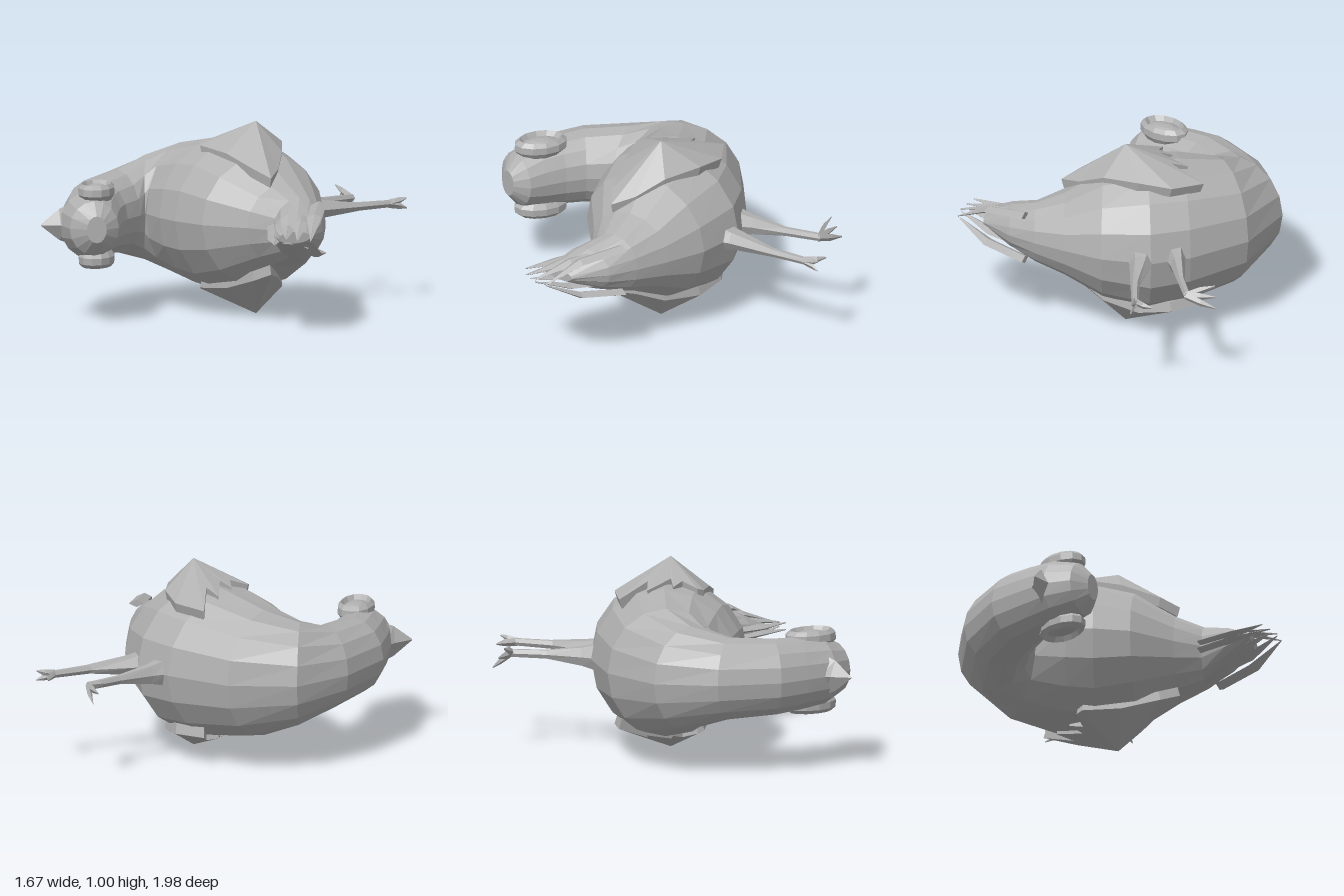
import * as THREE from 'three';

const MID = 0.5; // height of the bird's plane of symmetry (it lies on its side)

const grey = new THREE.MeshStandardMaterial({ color: 0xb0b0b0, flatShading: true, side: THREE.DoubleSide });
grey.name = 'grey';

function meshFrom(name, points, faces) {
  const geo = new THREE.BufferGeometry();
  geo.setAttribute('position', new THREE.Float32BufferAttribute(points.flat(), 3));
  geo.setIndex(faces.flat());
  const flat = geo.toNonIndexed();
  flat.computeVertexNormals();
  const mesh = new THREE.Mesh(flat, grey);
  mesh.name = name;
  return mesh;
}

// Rings are [ax, az, bx, bz, halfWidth, yOffset]: an ellipse across the line a-b.
function loft(name, rings, sides) {
  const points = [], faces = [];
  for (const [ax, az, bx, bz, w, y = 0] of rings) {
    for (let j = 0; j < sides; j++) {
      const t = (j / sides) * Math.PI * 2, c = Math.cos(t) / 2;
      points.push([(ax + bx) / 2 + (bx - ax) * c, MID + y + w * Math.sin(t), (az + bz) / 2 + (bz - az) * c]);
    }
  }
  const last = (rings.length - 1) * sides;
  for (let i = 0; i < last; i += sides) {
    for (let j = 0; j < sides; j++) {
      const a = i + j, b = i + (j + 1) % sides;
      faces.push([a, b, a + sides], [b, b + sides, a + sides]);
    }
  }
  for (let j = 1; j < sides - 1; j++) faces.push([0, j + 1, j], [last, last + j, last + j + 1]);
  return meshFrom(name, points, faces);
}

// Raised wing: a fan from its peak to a ragged outline, closed underneath
function wing(name, s) {
  const outline = [
    [-.41, .34, -.25], [-.24, .35, -.32], [-.07, .37, -.28], [.1, .35, -.16], [.22, .28, -.05],
    [.3, .25, .05], [.2, .29, .09], [0, .35, .12], [-.2, .37, .145], [-.23, .38, .12],
    [-.2, .41, .03], [-.27, .39, .0], [-.2, .42, -.03], [-.34, .38, -.12], [-.25, .41, -.14],
  ];
  const n = outline.length;
  const points = [
    ...outline.map(([x, y, z]) => [x, MID + s * y, z]),
    ...outline.map(([x, y, z]) => [x * .96, MID + s * (y - .05), z * .96]),
    [-.02, MID + s * .5, -.08], [-.02, MID + s * .3, -.08],
  ];
  const faces = [];
  for (let i = 0; i < n; i++) {
    const k = (i + 1) % n;
    faces.push([2 * n, k, i], [i, k, n + i], [k, n + k, n + i], [2 * n + 1, n + i, n + k]);
  }
  return meshFrom(name, points, s > 0 ? faces : faces.map((f) => [...f].reverse()));
}

// Eye: a raised oval rim around a shallow dome
function eye(name, s) {
  const profile = [[.105, 0], [.13, .03], [.128, .065], [.105, .085], [.085, .06], [.045, .075], [0, .08]]
    .map(([r, h]) => new THREE.Vector2(r, h));
  const mesh = new THREE.Mesh(new THREE.LatheGeometry(profile, 12), grey);
  mesh.name = name;
  mesh.scale.set(1.1, 1, .72);
  mesh.rotation.y = -.78;
  const holder = new THREE.Group();
  holder.name = name + 'Group';
  holder.add(mesh);
  holder.position.set(-.285, MID + s * .13, .735);
  if (s < 0) holder.rotation.x = Math.PI;
  if (s < 0) mesh.rotation.y = .78;
  return holder;
}

export function createModel() {
  const bird = new THREE.Group();
  bird.name = 'bird';

  // Body, neck and head in one skin, from tail to crown
  bird.add(loft('body', [
    [.7, .08, .66, .26, .03],
    [.58, -.08, .53, .2, .11],
    [.46, -.18, .41, .115, .16],
    [.31, -.285, .27, .18, .22],
    [.13, -.4, .05, .31, .34],
    [-.12, -.475, -.14, .345, .4],
    [-.33, -.42, -.28, .345, .385],
    [-.64, -.25, -.43, .32, .335],
    [-.84, .05, -.43, .33, .27],
    [-.8, .38, -.4, .38, .215],
    [-.65, .68, -.34, .5, .2],
    [-.52, .79, -.27, .58, .19],
    [-.38, .9, -.19, .65, .175],
    [-.24, .935, -.12, .71, .14],
    [-.15, .89, -.1, .8, .07],
  ], 16));

  // Beak
  bird.add(loft('beak', [
    [-.45, .82, -.32, .87, .1],
    [-.43, .88, -.355, .91, .08],
    [-.422, .988, -.418, .988, .004],
  ], 4));

  // Paired wings, eyes and folded tail feathers
  const tips = [[.73, .33], [.77, .285], [.805, .24], [.825, .17]];
  for (const s of [1, -1]) {
    const side = s > 0 ? 'upper' : 'lower';
    bird.add(wing(side + 'Wing', s), eye(side + 'Eye', s));
    tips.forEach(([x, z], k) => {
      const bx = .41 + .03 * k, bz = .1 - .07 * k, y = s * (.02 + .035 * k);
      const mx = bx + (x - bx) * .55, mz = bz + (z - bz) * .55;
      bird.add(loft(side + 'TailFeather' + (k + 1), [
        [bx - .02, bz + .035, bx + .02, bz - .035, .02, y],
        [mx - .025, mz + .03, mx + .025, mz - .03, .018, y * .75],
        [x - .002, z + .002, x + .002, z - .002, .003, s * .006 * (3 - k)],
      ], 4));
    });
  }

  // Bent leg with a flat foot turned towards the breast
  bird.add(loft('frontLeg', [
    [-.19, -.4, -.31, -.4, .08],
    [-.22, -.5, -.295, -.48, .055],
    [-.24, -.68, -.28, -.67, .025],
    [-.26, -.87, -.295, -.85, .022],
  ], 6));
  for (const s of [-1, 0, 1]) {
    bird.add(loft('frontToe' + (s + 2), [
      [-.26, -.87, -.27, -.845, .02],
      [-.34, -.885 + .02 * s, -.345, -.86 + .02 * s, .02, s * .025],
      [-.42, -.89 + .03 * s, -.42, -.888 + .03 * s, .004, s * .05],
    ], 4));
  }

  // Stretched leg trailing behind
  bird.add(loft('backLeg', [
    [.0, -.38, -.15, -.4, .08],
    [-.01, -.47, -.125, -.48, .055],
    [.005, -.73, -.045, -.7, .024],
    [.015, -.93, -.02, -.93, .02],
  ], 6));
  for (const [i, x, z, y] of [[1, -.085, -.99, 0], [2, .02, -.995, .025], [3, .025, -.995, -.025]]) {
    bird.add(loft('backToe' + i, [
      [.015, -.9, -.02, -.9, .022],
      [x / 2 + .01, -.965, x / 2 - .015, -.95, .018, y / 2],
      [x + .003, z, x - .003, z, .004, y],
    ], 4));
  }

  return bird;
}
